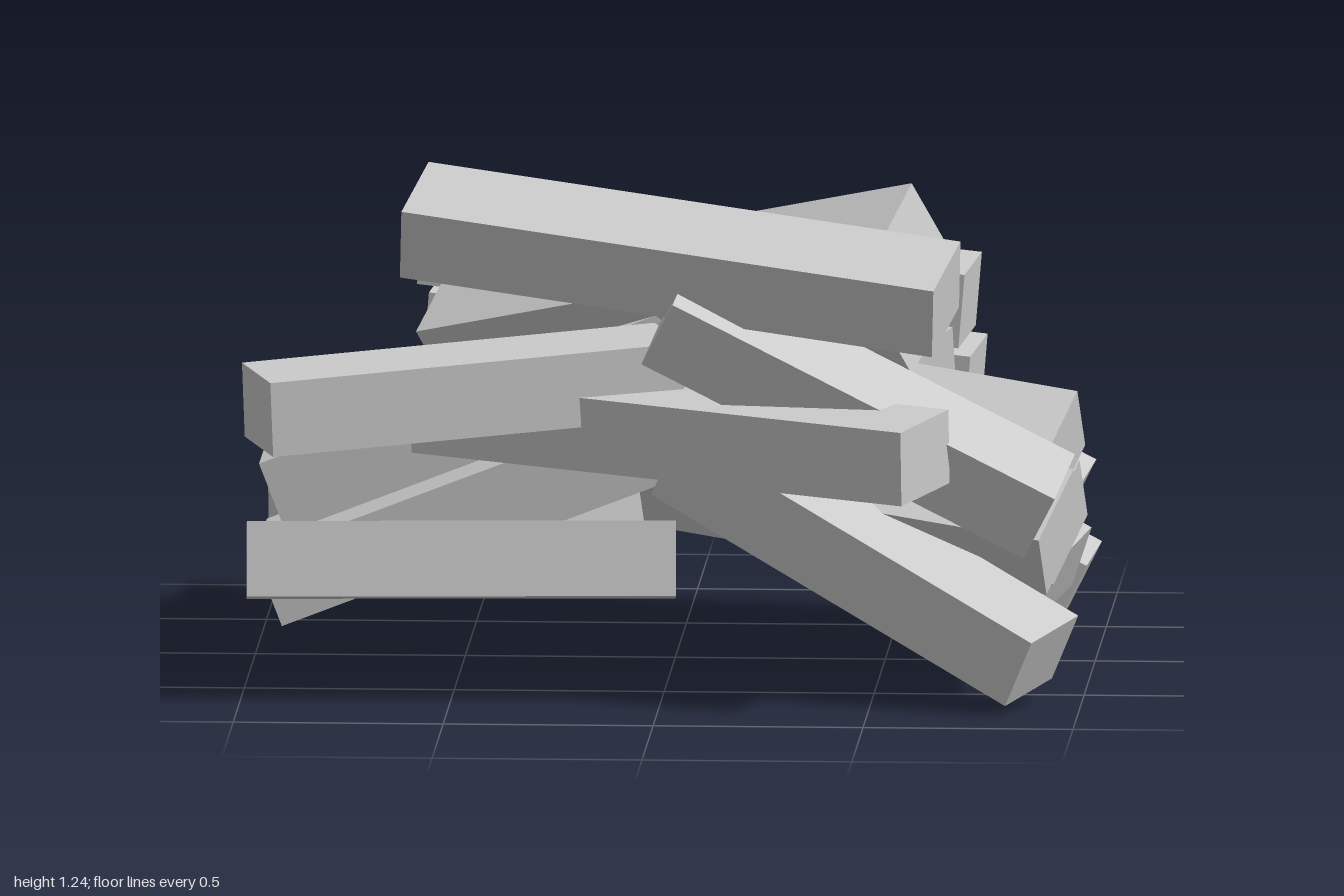
import * as THREE from 'three';

const WIDTH = 0.25, THICK = 0.18, LONG = 1.31, SHORT = 1.02;

export function createModel() {
  const group = new THREE.Group();
  group.name = 'beamPile';
  const material = new THREE.MeshStandardMaterial({ color: 0xcccccc, flatShading: true });

  // A squared beam: centre, direction of its length, rough direction of its width
  function beam(name, length, centre, along, across) {
    const x = new THREE.Vector3(...along).normalize();
    const z = new THREE.Vector3(...across);
    z.addScaledVector(x, -z.dot(x)).normalize();
    const y = new THREE.Vector3().crossVectors(z, x);
    const mesh = new THREE.Mesh(new THREE.BoxGeometry(length, THICK, WIDTH), material);
    mesh.quaternion.setFromRotationMatrix(new THREE.Matrix4().makeBasis(x, y, z));
    mesh.position.set(...centre);
    mesh.name = name;
    group.add(mesh);
  }

  // Parallel beams that share one direction
  function beams(name, length, along, across, centres) {
    centres.forEach((c, i) => beam(`${name}${i + 1}`, length, c, along, across));
  }

  // Long beams across the middle
  beams('topBeam', LONG, [1.27, -0.14, 0.24], [-0.05, -0.085, 0.235], [[0.04, 1.048, 0.535]]);
  beams('frontBeam', LONG, [1.18, -0.03, 0.53], [-0.11, -0.02, 0.23], [[0.04, 0.635, 0.54]]);
  beams('backBeam', LONG, [1.29, -0.12, 0.14], [-0.03, -0.015, 0.245],
    [[0.04, 0.885, -0.33], [0.04, 0.645, -0.59]]);
  beams('diagonalBeam', LONG, [1.11, 0.3, 0.58], [-0.09, -0.13, 0.19],
    [[0.02, 0.92, 0.15], [0.02, 0.74, 0.05]]);
  beams('innerDiagonalBeam', LONG, [1.1, -0.13, 0.66], [-0.13, -0.06, 0.2], [[0.04, 0.75, -0.26]]);

  // Short beams on the -x side
  beams('lowerSideBeam', SHORT, [1, 0, -0.06], [0, 0.045, 0.24], [[-0.48, 0.325, 0.565]]);
  beams('upperSideBeam', SHORT, [0.95, 0.05, -0.32], [0.08, -0.01, 0.24], [[-0.475, 0.73, 0.54]]);
  beams('rearSideBeam', SHORT, [0.92, -0.04, -0.42], [0.1, 0.03, 0.22],
    [[-0.48, 0.3, -0.595], [-0.48, 0.54, -0.34]]);
  beams('risingBeam', SHORT, [0.93, 0.36, 0], [0, 0, 1],
    [[-0.47, 0.41, 0.025], [-0.47, 0.41, 0.325], [-0.47, 0.6, 0.125], [-0.47, 0.57, -0.255]]);

  // Short beams sloping down to the +x side
  beams('slopingBeam', SHORT, [0.89, -0.45, 0.05], [-0.02, -0.02, 0.24],
    [[0.475, 0.32, -0.575], [0.475, 0.56, -0.315]]);
  beams('innerSlopingBeam', SHORT, [0.89, -0.45, 0], [-0.03, -0.07, 0.23], [[0.465, 0.695, 0.56]]);
  beams('middleFootBeam', SHORT, [0.85, -0.42, 0.25], [-0.1, -0.08, 0.205], [[0.465, 0.4, -0.21]]);
  beams('frontFootBeam', SHORT, [0.84, -0.44, 0.31], [-0.095, -0.03, 0.22], [[0.48, 0.34, 0.54]]);

  // Short tilted beams, nearly level, on the +x side
  beams('tiltedBeam', SHORT, [0.95, -0.11, 0.28], [-0.08, -0.14, 0.19],
    [[0.455, 0.605, 0.157], [0.455, 0.42, 0.053], [0.455, 0.445, 0.327]]);

  return group;
}
